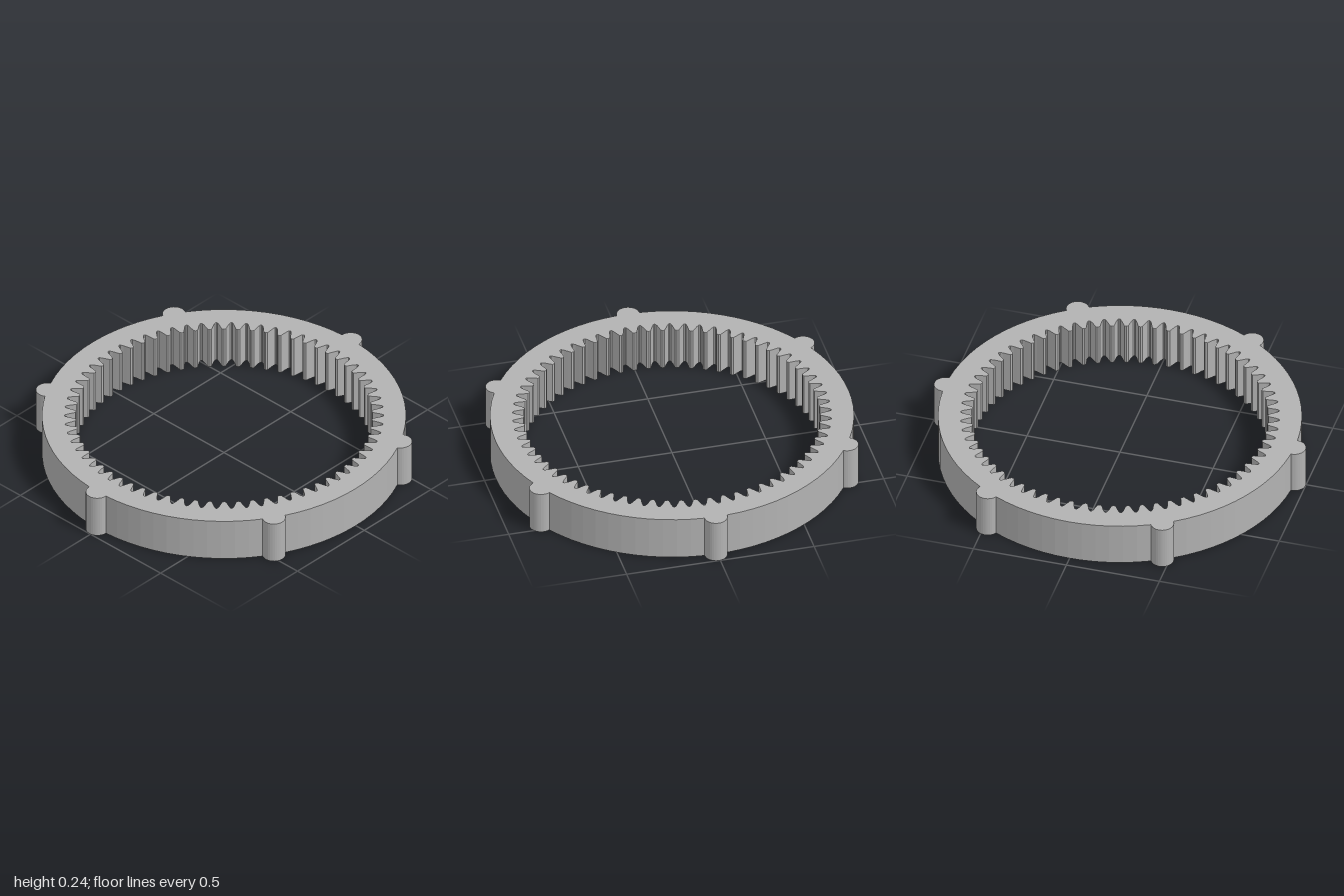
import * as THREE from 'three';

const HEIGHT = 0.236;
const RING_R = 0.94;
const LUG_R = 0.06;
const LUGS = 6;
const LUG_TURN = THREE.MathUtils.degToRad(-0.5);
const TEETH = 66;

const polar = (r, a) => new THREE.Vector2(r * Math.cos(a), r * Math.sin(a));

// Outer outline: a circle interrupted by evenly spaced round lugs
function outerOutline() {
  const points = [];
  const half = 2 * Math.asin(LUG_R / (2 * RING_R)); // ring angle covered by half a lug
  const sweep = Math.PI / 2 + half / 2;
  const step = (2 * Math.PI) / LUGS;
  for (let i = 0; i < LUGS; i++) {
    const a = i * step + LUG_TURN;
    const centre = polar(RING_R, a);
    for (let j = 0; j <= 16; j++) {
      points.push(polar(LUG_R, a - sweep + (2 * sweep * j) / 16).add(centre));
    }
    for (let j = 1; j < 12; j++) {
      points.push(polar(RING_R, a + half + ((step - 2 * half) * j) / 12));
    }
  }
  return points;
}

// Inner outline: teeth pointing to the centre, as [fraction of pitch, radius]
function toothOutline() {
  const tooth = [
    [-0.42, 0.822], [-0.33, 0.808], [-0.24, 0.788], [-0.14, 0.768], [0, 0.764],
    [0.14, 0.768], [0.24, 0.788], [0.33, 0.808], [0.42, 0.822], [0.5, 0.825],
  ];
  const pitch = (2 * Math.PI) / TEETH;
  const points = [];
  for (let i = 0; i < TEETH; i++) {
    for (const [f, r] of tooth) points.push(polar(r, (i + f) * pitch));
  }
  return points;
}

export function createModel() {
  const grey = new THREE.MeshStandardMaterial({ color: 0xb2b2b2 });
  grey.name = 'grey';

  const shape = new THREE.Shape(outerOutline());
  shape.holes.push(new THREE.Path(toothOutline()));
  const geometry = new THREE.ExtrudeGeometry(shape, { depth: HEIGHT, bevelEnabled: false });
  geometry.rotateX(-Math.PI / 2);

  const ring = new THREE.Mesh(geometry, grey);
  ring.name = 'toothedRingWithLugs';

  const group = new THREE.Group();
  group.name = 'internalRingGear';
  group.add(ring);
  return group;
}
